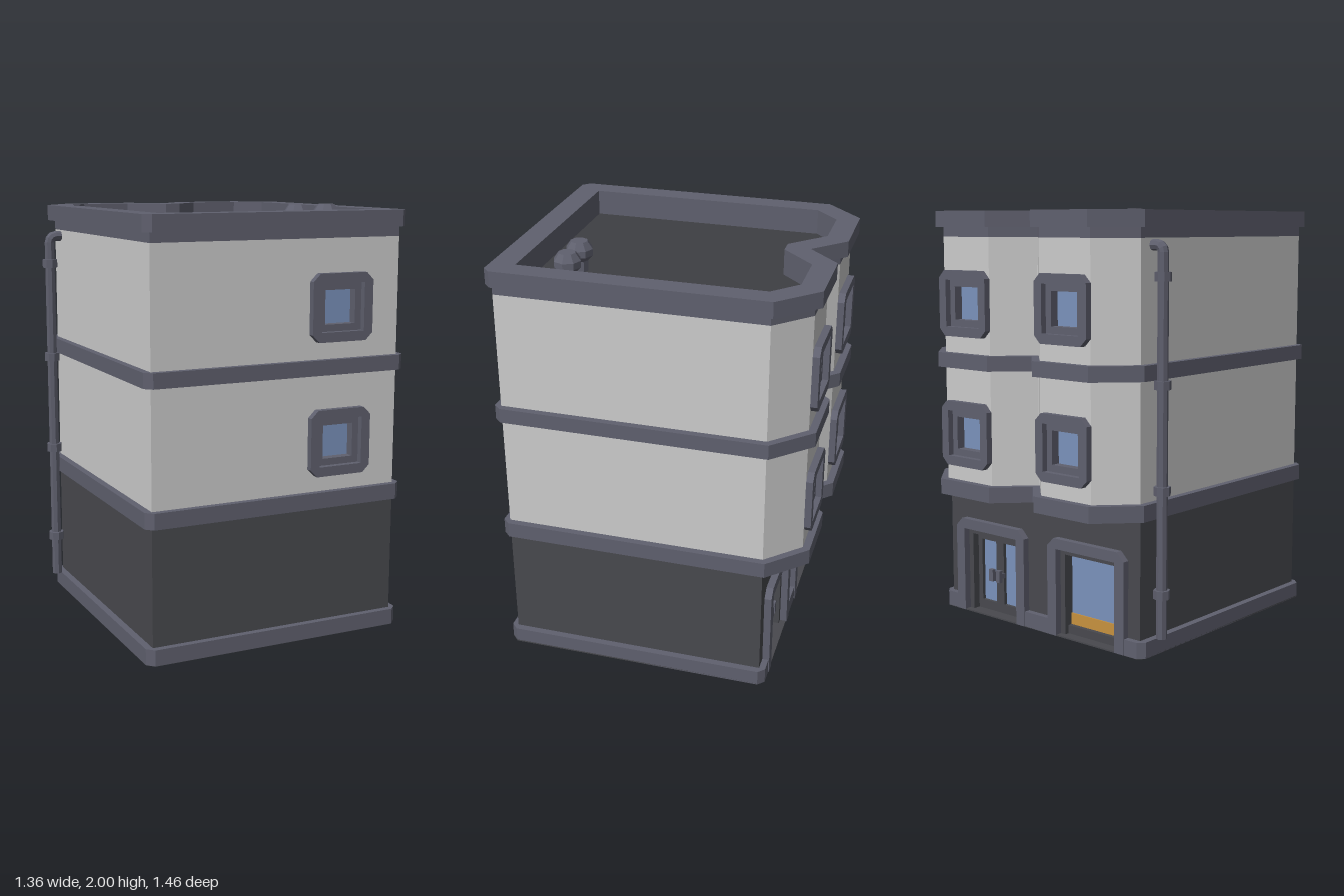
import * as THREE from 'three';

const material = (color) => new THREE.MeshStandardMaterial({ color, flatShading: true, side: THREE.DoubleSide });
const WALL = material(0xcccccc);
const TRIM = material(0x5f606e);
const DARK = material(0x48494e);
const ROOF = material(0x3e3f43);
const GLASS = material(0x7a92bb);
const ORANGE = material(0xc8923f);

const toShape = (points) => new THREE.Shape(points.map(([x, y]) => new THREE.Vector2(x, y)));

function add(parent, name, geometry, mat, x = 0, y = 0, z = 0) {
  const mesh = new THREE.Mesh(geometry, mat);
  mesh.name = name;
  mesh.position.set(x, y, z);
  parent.add(mesh);
  return mesh;
}

// Extrude a flat [x, y] shape from z0 to z1
function plate(shape, z0, z1) {
  return new THREE.ExtrudeGeometry(shape, { depth: z1 - z0, bevelEnabled: false }).translate(0, 0, z0);
}

// Extrude an [x, z] plan upwards, with an optional hole
function slab(plan, y0, y1, hole) {
  const flip = (pts) => toShape(pts.map(([x, z]) => [x, -z]));
  const shape = flip(plan);
  if (hole) shape.holes.push(flip(hole));
  return plate(shape, y0, y1).rotateX(-Math.PI / 2);
}

// Square with cut corners, half size h
const octagon = (h, c = 0, cy = 0, cx = 0) => (c
  ? [[-h + c, -h], [h - c, -h], [h, -h + c], [h, h - c], [h - c, h], [-h + c, h], [-h, h - c], [-h, -h + c]]
  : [[-h, -h], [h, -h], [h, h], [-h, h]]).map(([x, y]) => [x + cx, y + cy]);

function ring(outer, inner) {
  const shape = toShape(outer);
  shape.holes.push(toShape(inner));
  return shape;
}

// Portal: two legs and a lintel with cut top corners
const portal = (w, h, c, wi, hi) => toShape([
  [-w, 0], [-w, h - c], [-w + c, h], [w - c, h], [w, h - c], [w, 0],
  [wi, 0], [wi, hi], [-wi, hi], [-wi, 0],
]);

// Upright wall panel from plan point a to b
function wallPanel(parent, name, shape, a, b, y, mat) {
  const mesh = add(parent, name, new THREE.ShapeGeometry(shape), mat, a[0], y, a[1]);
  mesh.rotation.y = Math.atan2(a[1] - b[1], b[0] - a[0]);
}

// Plans mirrored about the building's axis at x = CX
const CX = 0.03;
const mirrored = (half) => [...half, ...half.slice().reverse().map(([x, z]) => [-x, z])].map(([x, z]) => [x + CX, z]);
const wallPlan = mirrored([[0.617, 0.70], [0.617, -0.54], [0.465, -0.695], [0.16, -0.695], [0.002, -0.54]]);
const bandPlan = mirrored([[0.617, 0.73], [0.65, 0.697], [0.65, -0.555], [0.48, -0.73], [0.145, -0.73], [0.002, -0.585]]);
const innerPlan = mirrored([[0.543, 0.615], [0.543, -0.515], [0.43, -0.625], [0.19, -0.625], [0.037, -0.47]]);
const BAYS = [0.3425, -0.2825];
const FLOORS = [0.93, 1.55];

function makeWindow() {
  const g = new THREE.Group();
  g.name = 'window';
  add(g, 'windowFrame', plate(ring(octagon(0.155, 0.035), octagon(0.11)), 0, 0.032), TRIM);
  add(g, 'windowSash', plate(ring(octagon(0.11), octagon(0.078)), -0.05, 0.003), TRIM);
  add(g, 'windowGlass', new THREE.PlaneGeometry(0.16, 0.16), GLASS, 0, 0, -0.04);
  return g;
}

// Surround shared by the entrance and the shop window
function makePortal(name) {
  const g = new THREE.Group();
  g.name = name;
  add(g, 'portalFrame', plate(portal(0.235, 0.47, 0.04, 0.18, 0.42), 0, 0.034), TRIM);
  add(g, 'portalReveal', plate(portal(0.18, 0.42, 0, 0.152, 0.392), -0.07, 0), DARK);
  return g;
}

function makeEntrance() {
  const g = makePortal('entrance');
  for (const s of [-1, 1]) {
    const leaf = ring([[0, 0], [0.152, 0], [0.152, 0.392], [0, 0.392]],
      [[0.027, 0.05], [0.127, 0.05], [0.127, 0.362], [0.027, 0.362]]);
    const door = add(g, 'doorLeaf', plate(leaf, -0.065, -0.035), DARK, s < 0 ? -0.152 : 0);
    add(door, 'doorGlass', new THREE.PlaneGeometry(0.11, 0.33), GLASS, 0.077, 0.206, -0.052);
    add(g, 'doorHandle', new THREE.BoxGeometry(0.026, 0.06, 0.02), TRIM, s * 0.024, 0.2, -0.005);
    add(g, 'handleMount', new THREE.BoxGeometry(0.018, 0.025, 0.03), TRIM, s * 0.024, 0.2, -0.025);
  }
  return g;
}

function makeShopWindow() {
  const g = makePortal('shopWindow');
  add(g, 'shopGlass', new THREE.PlaneGeometry(0.304, 0.36), GLASS, 0, 0.212, -0.05);
  add(g, 'shopSill', new THREE.BoxGeometry(0.304, 0.045, 0.045), DARK, 0, 0.0225, -0.045);
  add(g, 'shopStrip', new THREE.BoxGeometry(0.304, 0.055, 0.006), ORANGE, 0, 0.0725, -0.047);
  return g;
}

function makeDrainpipe() {
  const g = new THREE.Group();
  g.name = 'drainpipe';
  const x = -0.645, z = -0.46;
  add(g, 'pipe', new THREE.CylinderGeometry(0.025, 0.025, 1.72, 8), TRIM, x, 0.94, z);
  const elbow = add(g, 'pipeElbow', new THREE.TorusGeometry(0.03, 0.025, 8, 3, Math.PI / 2), TRIM, x + 0.03, 1.8, z);
  elbow.rotation.z = Math.PI / 2;
  const outlet = new THREE.CylinderGeometry(0.025, 0.025, 0.035, 8).rotateZ(Math.PI / 2);
  add(g, 'pipeOutlet', outlet, TRIM, x + 0.0475, 1.83, z);
  for (let i = 0; i < 4; i++) {
    add(g, 'pipeCollar', new THREE.CylinderGeometry(0.038, 0.038, 0.04, 8), TRIM, x, 0.285 + i * 0.47, z);
  }
  return g;
}

export function createModel() {
  const model = new THREE.Group();
  model.name = 'building';

  // Upper walls, with openings in the front and in both bays
  wallPlan.forEach((a, i) => {
    const b = wallPlan[(i + 1) % wallPlan.length];
    const w = Math.hypot(b[0] - a[0], b[1] - a[1]);
    const shape = toShape([[0, 0], [w, 0], [w, 1.16], [0, 1.16]]);
    const front = a[1] > 0.6 && b[1] > 0.6;
    const bay = a[1] < -0.6 && b[1] < -0.6;
    if (front || bay) {
      const u = front ? 0.34 - a[0] : w / 2;
      for (const y of FLOORS) shape.holes.push(toShape(octagon(0.11, 0, y - 0.7, u)));
    }
    wallPanel(model, 'upperWall', shape, a, b, 0.7, WALL);
  });

  // Ground floor walls; the back is notched for the entrance and shop window
  const ground = [[-0.587, 0.7], [0.647, 0.7], [0.647, -0.54], [-0.587, -0.54]];
  ground.forEach((a, i) => {
    const b = ground[(i + 1) % 4];
    const w = Math.hypot(b[0] - a[0], b[1] - a[1]);
    const notches = i !== 2 ? [] : BAYS.flatMap((x) => {
      const u = a[0] - x;
      return [[u - 0.18, 0], [u - 0.18, 0.42], [u + 0.18, 0.42], [u + 0.18, 0]];
    });
    wallPanel(model, 'groundWall', toShape([[0, 0], ...notches, [w, 0], [w, 0.63], [0, 0.63]]), a, b, 0, DARK);
  });

  // Plinth with gaps at the openings, and a floor plate
  const gaps = BAYS.flatMap((x) => [[x + 0.18, -0.57], [x + 0.18, -0.45], [x - 0.18, -0.45], [x - 0.18, -0.57]]);
  const corners = [[-0.62, -0.54], [-0.62, 0.697], [-0.587, 0.73], [0.647, 0.73], [0.68, 0.697], [0.68, -0.54]];
  const backLeft = [0.65, -0.57], backRight = [-0.59, -0.57];
  add(model, 'plinth', slab([...corners, backLeft, ...gaps, backRight], 0, 0.075), TRIM);
  add(model, 'floorPlate', slab([...corners, backLeft, backRight], -0.001, 0.006), DARK);

  // String courses, roof and parapet
  add(model, 'lowerBand', slab(bandPlan, 0.625, 0.7), TRIM);
  add(model, 'middleBand', slab(bandPlan, 1.245, 1.315), TRIM);
  add(model, 'parapetBase', slab(wallPlan, 1.86, 1.905, innerPlan), TRIM);
  add(model, 'cornice', slab(bandPlan, 1.905, 1.98, innerPlan), TRIM);
  add(model, 'roof', slab(innerPlan, 1.84, 1.86), ROOF);

  // Windows
  for (const y of FLOORS) {
    const frontWindow = makeWindow();
    frontWindow.position.set(0.34, y, 0.7);
    model.add(frontWindow);
    for (const x of BAYS) {
      const bayWindow = makeWindow();
      bayWindow.position.set(x, y, -0.695);
      bayWindow.rotation.y = Math.PI;
      model.add(bayWindow);
    }
  }

  // Entrance and shop window at the back
  [makeEntrance(), makeShopWindow()].forEach((g, i) => {
    g.position.set(BAYS[i], 0.001, -0.54);
    g.rotation.y = Math.PI;
    model.add(g);
  });

  // Chimney pots
  const pot = [[0.04, 0], [0.04, 0.05], [0.064, 0.075], [0.064, 0.105], [0.04, 0.14], [0, 0.14]];
  for (const x of [0.26, 0.415]) {
    add(model, 'chimneyPot', new THREE.LatheGeometry(pot.map(([r, y]) => new THREE.Vector2(r, y)), 8), TRIM, x, 1.86, 0.435);
  }

  model.add(makeDrainpipe());
  return model;
}
